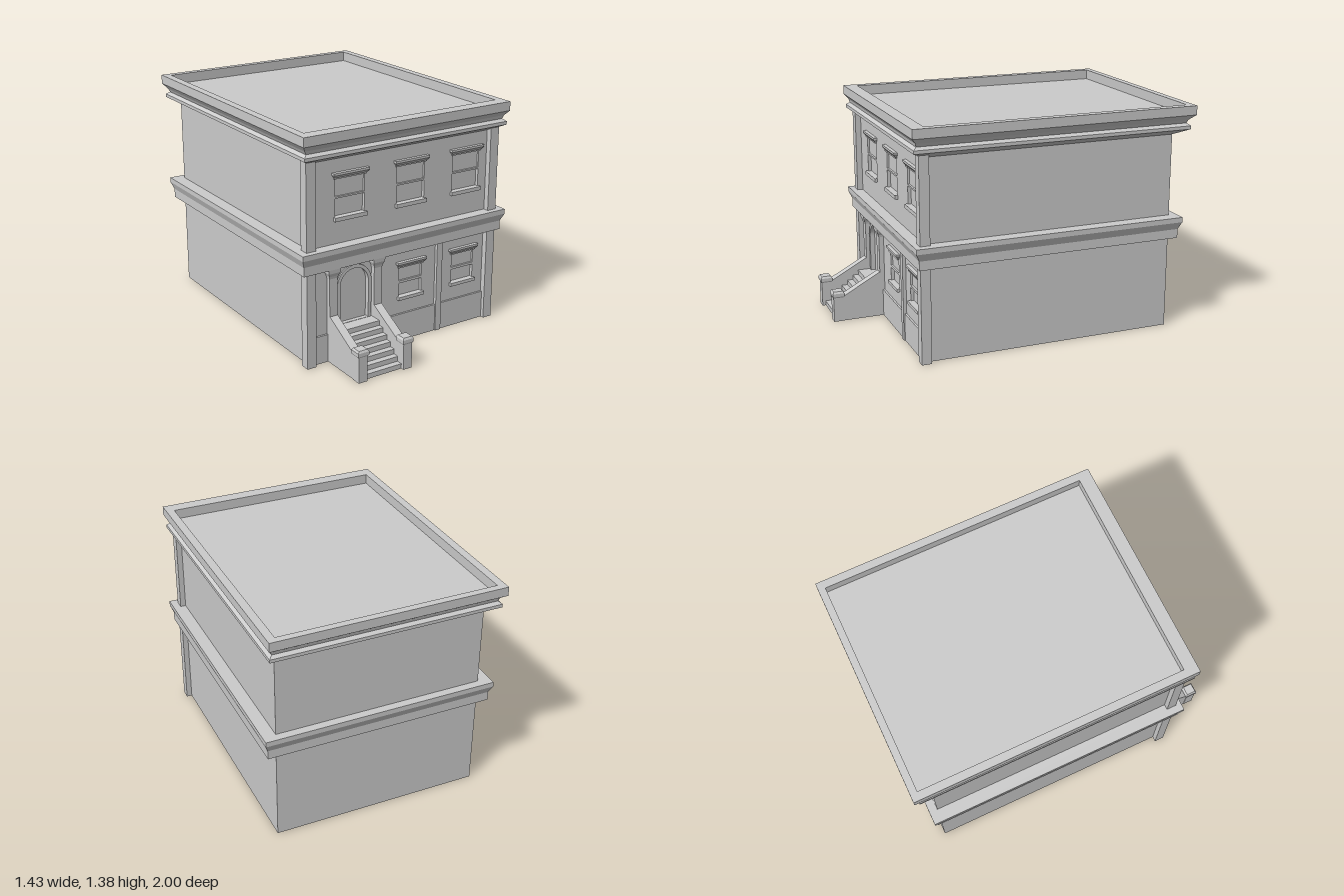
import * as THREE from 'three';

const material = new THREE.MeshStandardMaterial({ color: 0xcccccc, flatShading: true, side: THREE.DoubleSide });
const WALL = 0.665, SIDE = 0.635, BACK = -0.88; // wall faces

function add(parent, name, geometry) {
  const mesh = new THREE.Mesh(geometry, material);
  mesh.name = name;
  parent.add(mesh);
  return mesh;
}

// Box given by its limits
function block(parent, name, x0, x1, y0, y1, z0, z1) {
  const mesh = add(parent, name, new THREE.BoxGeometry(x1 - x0, y1 - y0, z1 - z0));
  mesh.position.set((x0 + x1) / 2, (y0 + y1) / 2, (z0 + z1) / 2);
  return mesh;
}

// Moulding lofted through rectangles [y, half width, front z, back z]
function moulding(parent, name, levels, capTop = true, capBottom = false) {
  const rings = levels.map(([y, h, f, b]) => [[h, y, f], [h, y, b], [-h, y, b], [-h, y, f]]);
  const pos = [];
  const quad = (a, b, c, d) => pos.push(...a, ...b, ...c, ...a, ...c, ...d);
  for (let k = 0; k + 1 < rings.length; k++) {
    for (let i = 0; i < 4; i++) {
      const j = (i + 1) % 4;
      quad(rings[k][i], rings[k][j], rings[k + 1][j], rings[k + 1][i]);
    }
  }
  if (capTop) quad(...rings[rings.length - 1]);
  if (capBottom) quad(...[...rings[0]].reverse());
  const geometry = new THREE.BufferGeometry();
  geometry.setAttribute('position', new THREE.Float32BufferAttribute(pos, 3));
  geometry.computeVertexNormals();
  return add(parent, name, geometry);
}

function rectangle(Type, x0, x1, y0, y1) {
  const p = new Type();
  p.moveTo(x0, y0).lineTo(x1, y0).lineTo(x1, y1).lineTo(x0, y1).closePath();
  return p;
}

function arch(Type, cx, r, y0, spring) {
  const p = new Type();
  p.moveTo(cx - r, y0);
  p.lineTo(cx + r, y0);
  p.lineTo(cx + r, spring);
  p.absarc(cx, spring, r, 0, Math.PI, false);
  p.closePath();
  return p;
}

function extrude(parent, name, shape, z0, z1) {
  const geometry = new THREE.ExtrudeGeometry(shape, { depth: z1 - z0, bevelEnabled: false, curveSegments: 16 });
  return add(parent, name, geometry.translate(0, 0, z0));
}

// Window rows: centres, half width, sill base, pane limits, lintel limits
const windowRows = [
  { xs: [-0.363, 0.053, 0.452], half: 0.097, sill: [0.84, 0.863], panes: [[0.863, 0.97], [0.98, 1.085]], top: 1.122, lintel: 0.107 },
  { xs: [0.065, 0.452], half: 0.081, sill: [0.26, 0.28], panes: [[0.28, 0.363], [0.378, 0.463]], top: 0.5, lintel: 0.092 },
];
const DOOR = -0.336, SPRING = 0.44, LANDING = 0.21;

function addWindow(parent, x, row) {
  const group = new THREE.Group();
  group.name = 'window';
  group.position.x = x;
  parent.add(group);
  const [y0, y1] = [row.panes[0][0], row.panes[1][1]], h = row.lintel;
  block(group, 'lowerPane', -row.half, row.half, y0, row.panes[0][1], WALL - 0.03, WALL - 0.02);
  block(group, 'upperPane', -row.half, row.half, row.panes[1][0], y1, WALL - 0.03, WALL - 0.012);
  block(group, 'windowSill', -h, h, ...row.sill, WALL - 0.01, WALL + 0.018);
  moulding(group, 'windowLintel', [
    [y1, h, WALL + 0.01, WALL - 0.01],
    [y1 + 0.008, h, WALL + 0.01, WALL - 0.01],
    [row.top - 0.013, h + 0.012, WALL + 0.022, WALL - 0.01],
    [row.top, h + 0.012, WALL + 0.022, WALL - 0.01],
  ], true, true);
}

function addEntrance(parent) {
  const group = new THREE.Group();
  group.name = 'entrance';
  parent.add(group);
  // Door and raised arched surround
  extrude(group, 'door', arch(THREE.Shape, DOOR, 0.098, LANDING, SPRING), WALL - 0.03, WALL - 0.02);
  const surround = arch(THREE.Shape, DOOR, 0.117, LANDING, SPRING);
  surround.holes.push(arch(THREE.Path, DOOR, 0.096, LANDING + 0.002, SPRING));
  extrude(group, 'doorSurround', surround, WALL - 0.01, WALL + 0.01);
  // Stair flight
  for (let i = 0; i < 7; i++) {
    const front = 0.975 - 0.037 * i;
    block(group, 'step', -0.466, -0.213, i * 0.03, (i + 1) * 0.03, i < 6 ? front - 0.06 : WALL - 0.02, front);
  }
  // Pilaster, bracket, sloping stair wall and newel on each side
  for (const x of [-0.49, -0.188]) {
    const side = new THREE.Group();
    side.name = 'stairSide';
    side.position.x = x;
    group.add(side);
    block(side, 'doorPilaster', -0.026, 0.026, 0, 0.53, WALL - 0.01, 0.695);
    moulding(side, 'pilasterCapital', [
      [0.515, 0.027, 0.697, WALL], [0.53, 0.03, 0.7, WALL],
      [0.55, 0.039, 0.708, WALL], [0.576, 0.041, 0.71, WALL],
    ], true, true);
    const slope = new THREE.Shape();
    slope.moveTo(-0.67, 0).lineTo(-0.67, 0.285).lineTo(-0.7, 0.285).lineTo(-0.94, 0.155).lineTo(-0.94, 0).closePath();
    const wall = extrude(side, 'stairWall', slope, -0.026, 0.026);
    wall.rotation.y = Math.PI / 2;
    block(side, 'newelPost', -0.029, 0.029, 0, 0.16, 0.935, 0.995);
    moulding(side, 'newelCap', [
      [0.155, 0.031, 0.996, 0.933], [0.163, 0.036, 1.0, 0.928],
      [0.183, 0.036, 1.0, 0.928], [0.195, 0.028, 0.993, 0.936],
    ], true, true);
  }
}

export function createModel() {
  const model = new THREE.Group();
  model.name = 'townhouse';

  // Front wall pierced for the windows and door
  const front = rectangle(THREE.Shape, -SIDE, SIDE, 0, 1.21);
  for (const row of windowRows) for (const x of row.xs) for (const [y0, y1] of row.panes) {
    front.holes.push(rectangle(THREE.Path, x - row.half, x + row.half, y0, y1));
  }
  front.holes.push(arch(THREE.Path, DOOR, 0.096, LANDING, SPRING));
  extrude(model, 'frontWall', front, WALL - 0.025, WALL);

  // Side and back walls, open underneath
  for (const s of [-1, 1]) {
    const wall = block(model, 'sideWall', -0.005, 0.005, 0, 1.21, BACK, WALL);
    wall.position.x = s * (SIDE - 0.005);
    const post = block(model, 'cornerPost', -0.03, 0.03, 0, 1.23, 0.64, 0.7);
    post.position.x = s * 0.638;
  }
  block(model, 'backWall', -SIDE, SIDE, 0, 1.21, BACK, BACK + 0.01);

  // Plinth and strip dividing the ground floor
  block(model, 'plinth', -0.61, 0.245, 0, 0.17, WALL - 0.01, WALL + 0.012);
  block(model, 'plinth', 0.285, 0.61, 0, 0.17, WALL - 0.01, WALL + 0.012);
  block(model, 'dividingStrip', 0.245, 0.285, 0, 0.58, WALL - 0.01, WALL + 0.02);

  for (const row of windowRows) for (const x of row.xs) addWindow(model, x, row);
  addEntrance(model);

  // Band between the floors
  moulding(model, 'floorBand', [
    [0.575, SIDE, WALL, BACK], [0.575, 0.695, 0.715, -0.91],
    [0.63, 0.695, 0.715, -0.91], [0.675, 0.713, 0.735, -0.93],
    [0.705, 0.713, 0.735, -0.93], [0.705, SIDE, WALL, BACK],
  ], false);

  // Cornice, parapet and sunken roof
  moulding(model, 'corniceAndRoof', [
    [1.2, SIDE, WALL, BACK], [1.235, 0.695, 0.735, -0.97],
    [1.255, 0.695, 0.735, -0.97], [1.27, 0.675, 0.715, -0.95],
    [1.29, 0.685, 0.72, -0.955], [1.32, 0.707, 0.745, -0.998],
    [1.375, 0.707, 0.745, -0.998], [1.375, 0.658, 0.665, -0.955],
    [1.315, 0.658, 0.665, -0.955],
  ]);
  return model;
}
